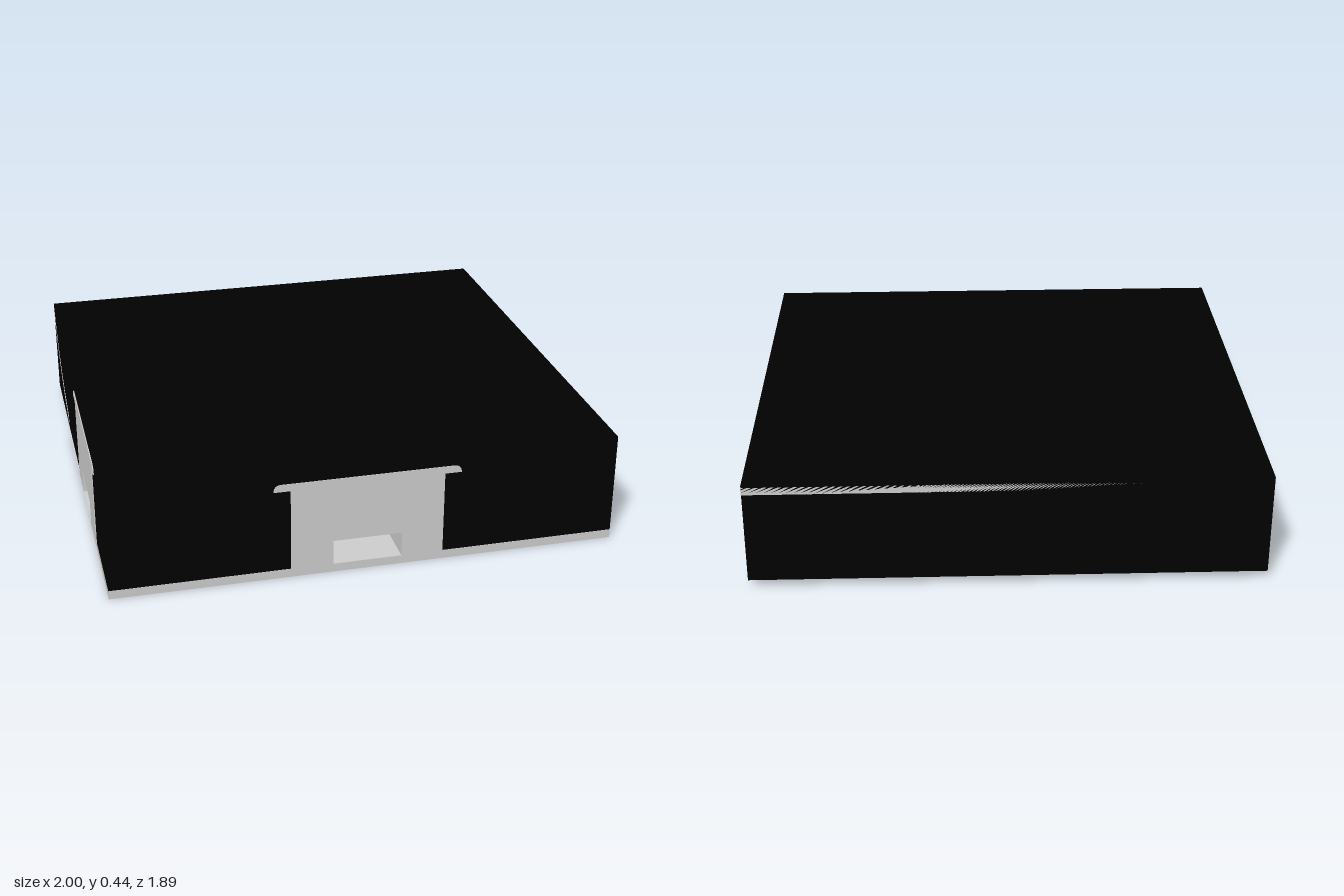
import * as THREE from 'three';

const grey = new THREE.MeshStandardMaterial({ color: 0xcccccc, side: THREE.DoubleSide });
const black = new THREE.MeshStandardMaterial({ color: 0x010101, side: THREE.DoubleSide });

export function createModel() {
  const group = new THREE.Group();
  const add = (name, geometry, material = grey) => {
    const mesh = new THREE.Mesh(geometry, material);
    mesh.name = name;
    group.add(mesh);
    return mesh;
  };
  // Box given by its low and high corners
  const box = (name, [x0, y0, z0], [x1, y1, z1]) =>
    add(name, new THREE.BoxGeometry(x1 - x0, y1 - y0, z1 - z0)
      .translate((x0 + x1) / 2, (y0 + y1) / 2, (z0 + z1) / 2));
  const outline = points => new THREE.Shape(points.map(([x, y]) => new THREE.Vector2(x, y)));

  // Dark cover, open at the bottom, with notches at the three openings
  const coverWall = (name, half, notch, turn, x, z) => {
    const wall = add(name, new THREE.ShapeGeometry(outline([
      [-half, 0.035], [notch - 0.135, 0.035], [notch - 0.135, 0.135], [notch + 0.135, 0.135],
      [notch + 0.135, 0.035], [half, 0.035], [half, 0.445], [-half, 0.445],
    ])), black);
    wall.rotation.y = turn;
    wall.position.set(x, 0, z);
  };
  coverWall('coverFront', 0.995, 0, 0, 0, 0.945);
  coverWall('coverLeft', 0.945, -0.283, Math.PI / 2, 0.995, 0);
  coverWall('coverRight', 0.945, 0.283, -Math.PI / 2, -0.995, 0);
  add('coverBack', new THREE.PlaneGeometry(1.99, 0.41).rotateY(Math.PI).translate(0, 0.24, -0.945), black);
  add('coverTop', new THREE.PlaneGeometry(1.99, 1.89).rotateX(-Math.PI / 2).translate(0, 0.445, 0), black);

  // Flat front half of the base
  box('baseSlab', [-0.995, 0, 0.28], [0.995, 0.035, 0.946]);

  // T-shaped end plate with a rounded cap and a rectangular opening
  const plate = new THREE.Shape();
  plate.moveTo(-0.3, 0.034).lineTo(0.3, 0.034).lineTo(0.3, 0.37).lineTo(0.365, 0.37);
  plate.quadraticCurveTo(0.365, 0.4, 0.335, 0.4).lineTo(-0.335, 0.4);
  plate.quadraticCurveTo(-0.365, 0.4, -0.365, 0.37).lineTo(-0.3, 0.37).closePath();
  plate.holes.push(outline([[-0.135, 0.035], [-0.135, 0.135], [0.135, 0.135], [0.135, 0.035]]));
  const plateGeometry = new THREE.ExtrudeGeometry(plate, { depth: 0.03, bevelEnabled: false, curveSegments: 6 });
  add('frontPlate', plateGeometry).position.set(0, 0, 0.917);
  for (const side of [1, -1]) {
    const end = add(side > 0 ? 'leftPlate' : 'rightPlate', plateGeometry);
    end.rotation.y = side * Math.PI / 2;
    end.position.set(side * 0.969, 0, 0.283);
  }

  // Crossing tunnels behind the openings
  box('crossTunnelRoof', [-0.98, 0.135, 0.148], [0.98, 0.145, 0.418]);
  box('crossTunnelFloor', [-0.98, 0.0345, 0.14], [0.98, 0.0355, 0.28]);
  box('frontTunnelRoof', [-0.135, 0.135, 0.418], [0.135, 0.145, 0.93]);
  box('crossTunnelBack', [-0.98, 0.035, 0.138], [0.98, 0.145, 0.148]);
  for (const side of [1, -1]) {
    const a = side > 0 ? 0.135 : -0.98;
    box('crossTunnelWall', [a, 0.03, 0.418], [a + 0.845, 0.145, 0.428]);
    const b = side > 0 ? 0.135 : -0.145;
    box('frontTunnelWall', [b, 0.03, 0.418], [b + 0.01, 0.145, 0.93]);
  }

  // Three shallow vaults on the underside, running from the slab to the ramp
  const vaultY = (x, z) => {
    const foot = 0.055 * THREE.MathUtils.clamp((-0.41 - z) / 0.065, 0, 1);
    const crown = THREE.MathUtils.mapLinear(Math.min(z, 0.14), 0.14, -0.475, 0.034, 0.055);
    return foot + (crown - foot) * Math.pow(Math.abs(Math.sin(Math.PI * (x + 1) * 1.5)), 0.8);
  };
  const vaults = new THREE.PlaneGeometry(1.99, 0.755, 96, 58).rotateX(-Math.PI / 2).translate(0, 0, -0.0975);
  const p = vaults.attributes.position;
  for (let i = 0; i < p.count; i++) p.setY(i, vaultY(p.getX(i) / 0.995, p.getZ(i)));
  vaults.computeVertexNormals();
  add('vaults', vaults);

  // Curved rear ramp: a thin band swept across the width
  const curve = new THREE.SplineCurve([[0.475, 0.055], [0.55, 0.085], [0.64, 0.122], [0.78, 0.207], [0.87, 0.297], [0.945, 0.405]]
    .map(([z, y]) => new THREE.Vector2(z, y)));
  const lower = curve.getPoints(28);
  const upper = lower.map(v => new THREE.Vector2(v.x, v.y + 0.031)).reverse();
  add('rearRamp', new THREE.ExtrudeGeometry(new THREE.Shape([...lower, ...upper]), { depth: 1.992, bevelEnabled: false })
    .rotateY(Math.PI / 2)).position.x = -0.996;

  return group;
}
